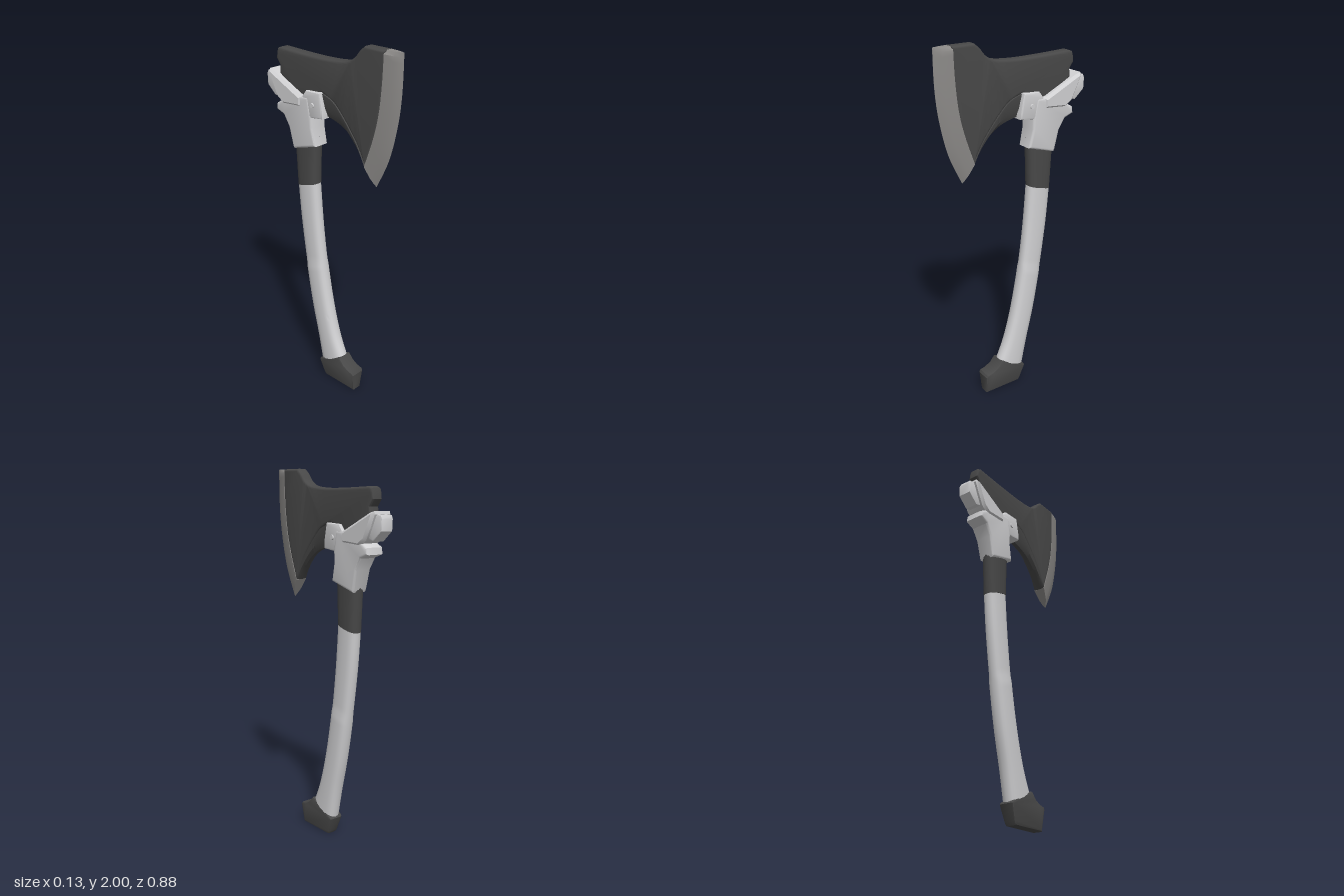
import * as THREE from 'three';
import { toCreasedNormals } from 'three/addons/utils/BufferGeometryUtils.js';

const mat = (name, color) => {
  const m = new THREE.MeshStandardMaterial({ color });
  m.name = name;
  return m;
};
const vecs = (pts) => pts.map(([z, y]) => new THREE.Vector2(z, y));
// smooth curve through (z, y) points
const curve = (pts, n) => new THREE.SplineCurve(vecs(pts)).getPoints(n);

// side outline in (z, y), extruded across x with rounded rims; widthAt scales x by height
function slab(outline, half, bevel, segments = 3, widthAt = null) {
  const shape = new THREE.Shape(outline);
  const depth = 2 * (half - bevel);
  const g = new THREE.ExtrudeGeometry(shape, {
    depth, bevelEnabled: true, bevelThickness: bevel, bevelSize: bevel,
    bevelOffset: -bevel, bevelSegments: segments,
  });
  g.translate(0, 0, -depth / 2);
  g.rotateY(-Math.PI / 2);
  if (widthAt) {
    const p = g.attributes.position;
    for (let i = 0; i < p.count; i++) p.setX(i, p.getX(i) * widthAt(p.getY(i)));
  }
  return toCreasedNormals(g, 0.55);
}

// skin over closed rings of equal length, capped at both ends
function loft(rings, crease) {
  const n = rings[0].length, last = (rings.length - 1) * n, index = [];
  for (let i = 0; i < rings.length - 1; i++) {
    for (let j = 0; j < n; j++) {
      const a = i * n + j, b = i * n + (j + 1) % n;
      index.push(a, b, a + n, b, b + n, a + n);
    }
  }
  for (let j = 1; j < n - 1; j++) {
    index.push(0, j + 1, j, last, last + j, last + j + 1);
  }
  const g = new THREE.BufferGeometry();
  g.setAttribute('position', new THREE.Float32BufferAttribute(rings.flat(2), 3));
  g.setIndex(index);
  return toCreasedNormals(g, crease);
}

// rounded grip between a front and a back edge line
function grip(front, back, n, widthAt) {
  const f = curve(front, n), b = curve(back, n), sides = 20;
  const soft = (v) => Math.sign(v) * Math.abs(v) ** 0.7;
  return loft(f.map((p, i) => {
    const c = p.clone().add(b[i]).multiplyScalar(0.5), d = p.clone().sub(c);
    const w = widthAt(c.y);
    return Array.from({ length: sides }, (_, k) => {
      const a = (k / sides) * Math.PI * 2, s = soft(Math.sin(a));
      return [w * soft(Math.cos(a)), c.y + d.y * s, c.x + d.x * s];
    });
  }), 0.7);
}

// strip thinning from an inner line to an outer line; profile holds [position, half width]
function wedge(inner, outer, profile, roundStart) {
  return loft(inner.map((p, i) => {
    const side = profile.map(([t, w]) => {
      const q = p.clone().lerp(outer[i], t);
      return [w * (i === 0 ? roundStart : 1), q.y, q.x];
    });
    return [...side, ...side.slice().reverse().map(([x, y, z]) => [-x, y, z])];
  }), 0.5);
}

export function createModel() {
  const dark = mat('dark steel', 0x484848);
  const light = mat('pale grey', 0xd0d0d2);
  const steel = mat('ground edge grey', 0x8c8a88);
  const axe = new THREE.Group();
  axe.name = 'axe';
  const add = (name, geometry, material) => {
    const m = new THREE.Mesh(geometry, material);
    m.name = name;
    axe.add(m);
    return m;
  };

  // blade body
  const edgeInner = curve([[0.35, 2], [0.345, 1.85], [0.33, 1.7], [0.3, 1.57], [0.245, 1.41]], 24);
  const edgeOuter = curve([[0.44, 2], [0.438, 1.81], [0.42, 1.65], [0.376, 1.47], [0.303, 1.31]], 24);
  const beardInner = curve([[0.245, 1.415], [0.2, 1.5], [0.15, 1.57], [0.09, 1.64], [0.03, 1.695], [-0.05, 1.725]], 20);
  const beardOuter = curve([[0.245, 1.41], [0.2, 1.473], [0.14, 1.535], [0.08, 1.575], [0, 1.6], [-0.07, 1.61]], 20);
  const spine = curve([[0.23, 2], [0.2, 1.975], [0.165, 1.935], [0.11, 1.91], [0, 1.9], [-0.15, 1.9], [-0.34, 1.906]], 30);
  const poll = vecs([[-0.36, 1.898], [-0.367, 1.875], [-0.37, 1.845], [-0.345, 1.81], [-0.35, 1.77], [-0.2, 1.66], [-0.1, 1.66]]);
  const bladeFront = edgeInner.map((p) => new THREE.Vector2(p.x + 0.006, p.y)).reverse();
  add('bladeBody', slab([...spine, ...poll, ...beardInner.slice(1).reverse(), ...bladeFront], 0.033, 0.014, 4), dark);

  // thinned underside of the blade and the ground cutting edge
  add('bladeUnderside', wedge(beardInner, beardOuter, [[0, 0.033], [0.6, 0.028], [1, 0.012]], 1), dark);
  add('cuttingEdge', wedge(edgeInner, edgeOuter, [[0, 0.0335], [0.55, 0.023], [0.85, 0.01], [1, 0.001]], 0.6), steel);

  // head socket, narrowing towards the handle
  const socketWidth = (y) => THREE.MathUtils.clamp(0.84 + (y - 1.4) * 0.8, 0.84, 1);
  add('headSocket', slab(vecs([
    [-0.078, 1.432], [-0.24, 1.385], [-0.248, 1.4], [-0.27, 1.5], [-0.305, 1.56], [-0.358, 1.58],
    [-0.352, 1.615], [-0.31, 1.64], [-0.33, 1.74], [-0.17, 1.69], [-0.12, 1.69], [-0.1, 1.59], [-0.1, 1.53],
  ]), 0.056, 0.014, 3, socketWidth), light);

  // raised cheek clamping the back of the blade
  add('headCheek', slab(vecs([
    [-0.165, 1.685], [-0.37, 1.782], [-0.4, 1.79], [-0.405, 1.775], [-0.375, 1.71], [-0.345, 1.65], [-0.3, 1.62], [-0.17, 1.63],
  ]), 0.064, 0.014, 1), light);

  // plug at the rear of the head
  add('rearPlug', slab(vecs([
    [-0.33, 1.75], [-0.4, 1.775], [-0.432, 1.772], [-0.44, 1.755], [-0.437, 1.695], [-0.38, 1.645], [-0.33, 1.66],
  ]), 0.038, 0.008, 2), light);

  // side tabs with their pins
  add('headTab', slab(vecs([
    [-0.04, 1.727], [-0.14, 1.722], [-0.165, 1.69], [-0.165, 1.6], [-0.1, 1.585], [-0.02, 1.595], [-0.02, 1.63],
  ]), 0.053, 0.01, 2), light);
  for (const s of [1, -1]) {
    const pin = add(s > 0 ? 'leftPin' : 'rightPin', new THREE.CylinderGeometry(0.012, 0.014, 0.008, 16), light);
    pin.rotation.z = -s * Math.PI / 2;
    pin.position.set(s * 0.055, 1.655, -0.09);
  }

  // dark collar below the head
  add('collar', grip(
    [[-0.088, 1.48], [-0.095, 1.35], [-0.1, 1.21]],
    [[-0.252, 1.44], [-0.243, 1.3], [-0.235, 1.175]], 8, () => 0.042), dark);

  // curved handle, slightly thicker in its lower part
  add('handle', grip(
    [[-0.1, 1.21], [-0.08, 0.97], [-0.05, 0.73], [-0.005, 0.49], [0.045, 0.305], [0.1, 0.175]],
    [[-0.235, 1.175], [-0.215, 0.97], [-0.175, 0.69], [-0.135, 0.465], [-0.09, 0.27], [-0.058, 0.105]],
    40, (y) => (y > 0.71 ? 0.039 : 0.044)), light);

  // hooked pommel, tapering to its foot
  const footWidth = (y) => THREE.MathUtils.clamp(0.68 + 2.7 * y, 0.68, 1);
  add('pommel', slab(vecs([
    [0.195, 0], [0.203, 0.11], [0.195, 0.122], [0.16, 0.13], [0.125, 0.15], [0.098, 0.183],
    [0.085, 0.18], [-0.055, 0.112], [-0.064, 0.1], [-0.035, 0.015], [-0.025, 0],
  ]), 0.045, 0.01, 2, footWidth), dark);

  return axe;
}
